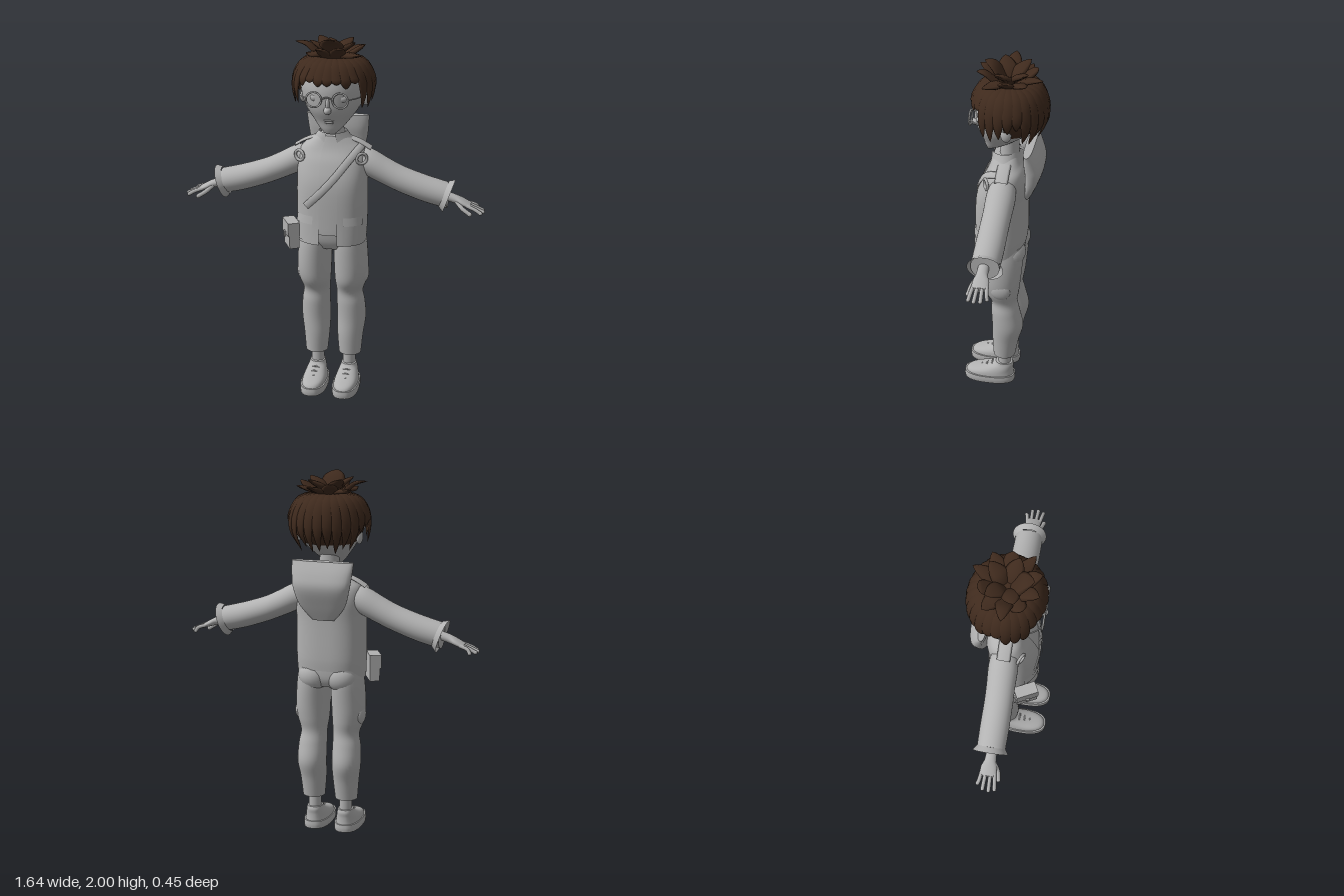
import * as THREE from 'three';

const grey = new THREE.MeshStandardMaterial({ color: 0xb2b2b2, side: THREE.DoubleSide });
grey.name = 'plain grey';
const brown = new THREE.MeshStandardMaterial({ color: 0x3f2a1d, side: THREE.DoubleSide });
brown.name = 'dark brown hair';
const V = (x, y, z) => new THREE.Vector3(x, y, z);

// Indexed grid of rings; wraps round when closed
function grid(rings, closed) {
  const n = rings[0].length, pos = rings.flat().flatMap(p => [p.x, p.y, p.z]), idx = [];
  for (let r = 0; r < rings.length - 1; r++) {
    for (let j = 0; j < (closed ? n : n - 1); j++) {
      const k = (j + 1) % n, a = r * n + j, b = a + n, c = r * n + k, d = b - j + k;
      idx.push(a, b, c, c, b, d);
    }
  }
  const g = new THREE.BufferGeometry();
  g.setAttribute('position', new THREE.Float32BufferAttribute(pos, 3));
  g.setIndex(idx);
  g.computeVertexNormals();
  return g;
}

// Smooth loft through [along, a, b, radiusA, radiusB] sections on one axis
const place = { y: (t, a, b) => V(a, t, b), x: (t, a, b) => V(t, b, a), z: (t, a, b) => V(b, a, t) };
function loft(keys, { axis = 'y', n = 2, arc = null, seg = 32, steps = 5 } = {}) {
  const rows = [], at = i => keys[Math.min(Math.max(i, 0), keys.length - 1)];
  for (let i = 0; i < keys.length - 1; i++) {
    for (let s = i ? 1 : 0; s <= steps; s++) {
      const t = s / steps;
      rows.push(keys[0].map((_, c) => {
        const [p, q, r, w] = [at(i - 1)[c], at(i)[c], at(i + 1)[c], at(i + 2)[c]];
        return q + 0.5 * t * (r - p + t * (2 * p - 5 * q + 4 * r - w + t * (3 * (q - r) + w - p)));
      }));
    }
  }
  const bend = v => Math.sign(v) * Math.abs(v) ** (2 / n);
  const [a0, a1] = arc || [0, Math.PI * 2];
  const ring = ([t, a, b, ra, rb]) => Array.from({ length: arc ? seg + 1 : seg }, (_, j) => {
    const q = a0 + (a1 - a0) * j / seg;
    return place[axis](t, a + ra * bend(Math.cos(q)), b + rb * bend(Math.sin(q)));
  });
  const rings = rows.map(ring);
  if (!arc) {
    const first = rows[0], last = rows[rows.length - 1];
    const dot = r => ring([r[0], r[1], r[2], 0, 0]);
    rings.unshift(dot(first), ring(first));
    rings.push(ring(last), dot(last));
  }
  return grid(rings, !arc);
}

// Flat strip or pointed lock along a curve, facing away from a centre
function strip(points, width, thick, centre, pointed) {
  const curve = new THREE.CatmullRomCurve3(points), rings = [], N = 12, M = 8;
  for (let i = 0; i <= N; i++) {
    const t = i / N, p = curve.getPoint(t), tan = curve.getTangent(t);
    const out = p.clone().sub(centre);
    out.addScaledVector(tan, -out.dot(tan)).normalize();
    const side = out.clone().cross(tan);
    const s = pointed ? Math.max(0.001, Math.sin(Math.PI * (0.2 + 0.8 * t)) ** 0.75) : 1;
    rings.push(Array.from({ length: M }, (_, j) => {
      const q = j / M * Math.PI * 2;
      return p.clone().addScaledVector(side, width * s * Math.cos(q)).addScaledVector(out, thick * s * Math.sin(q));
    }));
  }
  return grid(rings, true);
}

export function createModel() {
  const root = new THREE.Group();
  root.name = 'character';
  const add = (name, geo, parent = root, mat = grey) => {
    const m = new THREE.Mesh(geo, mat);
    m.name = name;
    parent.add(m);
    return m;
  };
  const ball = (name, p, s, parent = root) => {
    const m = add(name, new THREE.SphereGeometry(1, 20, 14), parent);
    m.position.set(...p);
    m.scale.set(...s);
    return m;
  };
  const tube = (name, pts, r, parent = root) =>
    add(name, new THREE.TubeGeometry(new THREE.CatmullRomCurve3(pts), 12, r, 8), parent);

  // Head, face and neck
  add('head', loft([[1.495, 0, 0.085, 0.03, 0.015], [1.52, 0, 0.06, 0.06, 0.05], [1.56, 0, 0.03, 0.095, 0.09],
    [1.62, 0, 0.003, 0.14, 0.143], [1.68, 0, -0.01, 0.165, 0.165], [1.75, 0, -0.02, 0.175, 0.175],
    [1.82, 0, -0.025, 0.155, 0.155], [1.87, 0, -0.025, 0.08, 0.08], [1.885, 0, -0.025, 0.01, 0.01]]));
  add('neck', loft([[1.4, 0, -0.02, 0.065, 0.06], [1.48, 0, -0.02, 0.055, 0.05], [1.62, 0, -0.02, 0.052, 0.048]]));
  ball('nose', [0, 1.635, 0.158], [0.02, 0.02, 0.027]);
  ball('noseBridge', [0, 1.665, 0.148], [0.012, 0.04, 0.02]);
  ball('upperLip', [0, 1.572, 0.12], [0.03, 0.006, 0.012]);
  ball('lowerLip', [0, 1.56, 0.117], [0.024, 0.007, 0.012]);
  tube('glassesBridge', [V(-0.03, 1.7, 0.172), V(0, 1.71, 0.176), V(0.03, 1.7, 0.172)], 0.004);

  // Trousers and torso
  add('trouserSeat', loft([[0.84, 0, 0.005, 0.09, 0.09], [0.89, 0, 0.005, 0.17, 0.112], [0.98, 0, 0.01, 0.175, 0.12]], { n: 2.4 }));
  const body = [[0.885, 0, 0.025, 0.185, 0.14], [1, 0, 0.02, 0.19, 0.14], [1.2, 0, 0.018, 0.19, 0.138],
    [1.32, 0, 0, 0.19, 0.125], [1.39, 0, -0.01, 0.175, 0.1], [1.43, 0, -0.005, 0.13, 0.08], [1.47, 0, 0, 0.08, 0.065]];
  const scaled = (f, lo = 0, hi = 9) => body.filter(k => k[0] >= lo && k[0] <= hi).map(([y, a, b, c, d]) => [y, a, b, c * f, d * f]);
  add('shirt', loft([[0.94, 0, 0.025, 0.17, 0.128], ...scaled(0.95, 0.95)], { n: 2.5 }));
  const jacket = loft(body, { n: 2.5, arc: [Math.PI / 2 + 0.19, Math.PI * 2.5 - 0.19], seg: 56 });
  const jp = jacket.attributes.position;
  for (let i = 0; i < jp.count; i++) { // hem rises at the back
    if (jp.getY(i) < 1 && jp.getZ(i) < 0) {
      const lift = 0.05 * Math.min(1, -jp.getZ(i) / 0.1);
      jp.setY(i, jp.getY(i) + lift * (1 - jp.getY(i)) / 0.115);
    }
  }
  jacket.computeVertexNormals();
  add('jacket', jacket);
  add('collar', loft([[1.435, 0, -0.005, 0.12, 0.08], [1.455, 0, 0, 0.1, 0.075], [1.49, 0, 0.005, 0.075, 0.07]],
    { arc: [Math.PI / 2 + 0.3, Math.PI * 2.5 - 0.3] }));
  add('hood', loft([[1.22, 0, -0.12, 0.06, 0.015], [1.3, 0, -0.14, 0.125, 0.03], [1.4, 0, -0.158, 0.155, 0.047],
    [1.47, 0, -0.148, 0.165, 0.043], [1.54, 0, -0.132, 0.172, 0.024]], { n: 2.8 }));
  add('shoulderStrap', strip([V(0.165, 1.42, -0.02), V(0.145, 1.405, 0.07), V(0.1, 1.35, 0.112), V(0.03, 1.26, 0.146),
    V(-0.05, 1.17, 0.158), V(-0.12, 1.1, 0.147)], 0.02, 0.006, V(0, 1.2, -0.1), false));

  // Hip bag
  const bag = new THREE.Group();
  bag.name = 'hipBag';
  bag.position.set(-0.207, 0.928, 0.11);
  bag.rotation.y = -1.09;
  root.add(bag);
  add('bagBody', new THREE.BoxGeometry(0.115, 0.145, 0.055), bag);
  add('bagFlap', new THREE.BoxGeometry(0.122, 0.075, 0.065), bag).position.set(0, 0.036, 0.004);
  add('bagClasp', new THREE.BoxGeometry(0.022, 0.03, 0.01), bag).position.set(0, 0, 0.04);

  // Mirrored parts: legs, shoes, arms, hands, glasses
  for (const s of [1, -1]) {
    const half = new THREE.Group();
    half.name = s > 0 ? 'leftHalf' : 'rightHalf';
    half.scale.x = s;
    root.add(half);

    add('trouserLeg', loft([[0.19, 0.095, -0.008, 0.062, 0.062], [0.3, 0.095, -0.015, 0.072, 0.075], [0.4, 0.1, -0.027, 0.08, 0.087],
      [0.5, 0.098, -0.015, 0.078, 0.08], [0.57, 0.093, -0.007, 0.073, 0.073], [0.64, 0.1, 0.005, 0.087, 0.095],
      [0.72, 0.103, 0.007, 0.094, 0.106], [0.85, 0.097, 0.005, 0.092, 0.115], [0.94, 0.09, 0.005, 0.085, 0.11]]), half);
    ball('buttock', [0.08, 0.89, -0.05], [0.085, 0.08, 0.072], half);
    ball('thighPocket', [0.175, 0.68, 0], [0.025, 0.055, 0.055], half);
    add('ankle', loft([[0.09, 0.09, -0.008, 0.036, 0.036], [0.22, 0.09, -0.008, 0.034, 0.034]]), half);
    add('shoeSole', loft([[0, 0.09, 0.078, 0.073, 0.145], [0.02, 0.09, 0.078, 0.075, 0.147], [0.042, 0.09, 0.078, 0.073, 0.145]], { n: 2.5 }), half);
    add('shoeUpper', loft([[0.042, 0.09, 0.077, 0.067, 0.138], [0.062, 0.09, 0.068, 0.063, 0.127], [0.085, 0.09, 0.03, 0.055, 0.088],
      [0.108, 0.09, 0, 0.046, 0.06], [0.125, 0.09, -0.006, 0.042, 0.048]], { n: 2.3 }), half);
    for (let i = 0; i < 3; i++) {
      const y = 0.108 - i * 0.014, z = 0.065 + i * 0.03;
      tube('shoelace', [V(0.06, y - 0.012, z - 0.004), V(0.09, y, z), V(0.12, y - 0.012, z - 0.004)], 0.005, half);
    }

    // Jacket pocket and flap follow the jacket curve
    add('jacketPocket', loft(scaled(1.025, 0, 1.01).map(k => [k[0] + 0.015, ...k.slice(1)]), { n: 2.5, arc: [0.5, 1.2], seg: 12 }), half);
    add('pocketFlap', loft([[1, 0, 0.02, 0.199, 0.147], [1.045, 0, 0.02, 0.193, 0.142]], { n: 2.5, arc: [0.48, 1.22], seg: 12 }), half);
    const buckle = add('shoulderBuckle', new THREE.TorusGeometry(0.028, 0.008, 8, 24), half);
    buckle.position.set(0.168, 1.36, 0.076);
    buckle.rotation.y = 0.5;
    add('epaulette', strip([V(0.1, 1.447, -0.01), V(0.15, 1.428, -0.01), V(0.205, 1.396, -0.01)], 0.035, 0.007, V(0.1, 1.2, -0.01), false), half);

    // Sleeve, flared cuff and hand
    add('sleeve', loft([[0.12, -0.01, 1.335, 0.065, 0.06], [0.2, -0.01, 1.313, 0.077, 0.078], [0.3, -0.008, 1.265, 0.075, 0.075],
      [0.38, -0.006, 1.23, 0.075, 0.072], [0.5, -0.006, 1.19, 0.076, 0.072], [0.62, -0.006, 1.16, 0.074, 0.07]], { axis: 'x' }), half);
    const cuff = add('cuff', new THREE.CylinderGeometry(0.093, 0.074, 0.03, 32, 1, true), half);
    cuff.position.set(0.612, 1.16, -0.007);
    cuff.rotation.z = -1.91;
    add('palm', loft([[0.58, 0, 1.168, 0.028, 0.025], [0.66, 0, 1.145, 0.03, 0.024], [0.7, -0.002, 1.13, 0.042, 0.02],
      [0.745, -0.002, 1.11, 0.043, 0.014]], { axis: 'x' }), half);
    [[-0.036, 0.79], [-0.014, 0.815], [0.01, 0.82], [0.032, 0.81]].forEach(([z, x]) => {
      tube('finger', [V(0.725, 1.118, z), V(0.77, 1.102, z * 1.2), V(x - 0.008, 1.084, z * 1.35)], 0.0105, half);
      ball('fingertip', [x - 0.009, 1.085, z * 1.35], [0.0105, 0.0105, 0.0105], half);
    });
    tube('thumb', [V(0.67, 1.135, 0.02), V(0.705, 1.105, 0.045), V(0.745, 1.08, 0.055)], 0.012, half);
    ball('thumbTip', [0.745, 1.08, 0.055], [0.012, 0.012, 0.012], half);

    // Ear, eye and glasses
    ball('ear', [0.17, 1.665, -0.03], [0.018, 0.04, 0.028], half);
    ball('eye', [0.07, 1.695, 0.128], [0.028, 0.02, 0.014], half);
    add('lensRim', new THREE.TorusGeometry(0.04, 0.005, 8, 32), half).position.set(0.07, 1.695, 0.172);
    tube('glassesArm', [V(0.11, 1.7, 0.17), V(0.155, 1.698, 0.1), V(0.178, 1.69, -0.02)], 0.004, half);
  }

  // Hair: cap, hanging locks and a rosette of tufts
  const hair = new THREE.Group();
  hair.name = 'hair';
  root.add(hair);
  const centre = V(0, 1.72, -0.02);
  const cap = (name, ...args) => {
    const m = add(name, new THREE.SphereGeometry(1, 32, 16, ...args), hair, brown);
    m.position.set(0, 1.74, -0.02);
    m.scale.set(0.195, 0.16, 0.185);
  };
  cap('hairCap', 0, Math.PI * 2, 0, 1.2);
  cap('hairBack', Math.PI, Math.PI, 1.1, 1.25);
  const onHead = (a, r, y) => V(Math.sin(a) * r * 1.09, y, -0.02 + Math.cos(a) * r);
  const count = 26;
  for (let i = 0; i < count; i++) {
    const a = (i / count) * Math.PI * 2, deg = Math.abs(a > Math.PI ? a - 2 * Math.PI : a) * 180 / Math.PI;
    const wob = 0.014 * Math.sin(i * 2.4);
    const tip = (deg < 50 ? 1.765 : deg < 92 ? 1.64 : deg < 112 ? 1.7 : 1.6) + wob;
    const tipR = deg < 50 ? 0.192 : deg < 112 ? 0.188 : 0.155;
    add('hairLock', strip([onHead(a, 0.07, 1.885), onHead(a, 0.145, 1.86), onHead(a, 0.185, 1.8),
      onHead(a, deg < 50 ? 0.192 : 0.198, (1.8 + tip) / 2), onHead(a, tipR, tip)], 0.036, 0.013, centre, true), hair, brown);
  }
  for (let i = 0; i < 10; i++) {
    const a = (i + 0.5) / 10 * Math.PI * 2, r = 0.17 + 0.025 * Math.sin(i * 2.1), y = 1.935 + 0.02 * Math.cos(i * 2.7);
    add('hairTuft', strip([onHead(a, 0.03, 1.87), onHead(a, 0.08, 1.9), onHead(a, 0.13, y - 0.012), onHead(a, r, y)],
      0.045, 0.014, V(0, 1.7, -0.02), true), hair, brown);
  }
  for (const [a, r, y, w] of [[0, 0.13, 1.995, 0.068], [1.2, 0.12, 1.97, 0.05], [2.5, 0.13, 1.965, 0.05], [3.9, 0.13, 1.97, 0.05], [5.1, 0.12, 1.972, 0.05]]) {
    add('crownTuft', strip([onHead(a, 0.01, 1.87), onHead(a, 0.045, 1.92), onHead(a, 0.085, y - 0.022), onHead(a, r, y)],
      w, 0.016, V(0, 1.7, -0.02), true), hair, brown);
  }
  return root;
}
